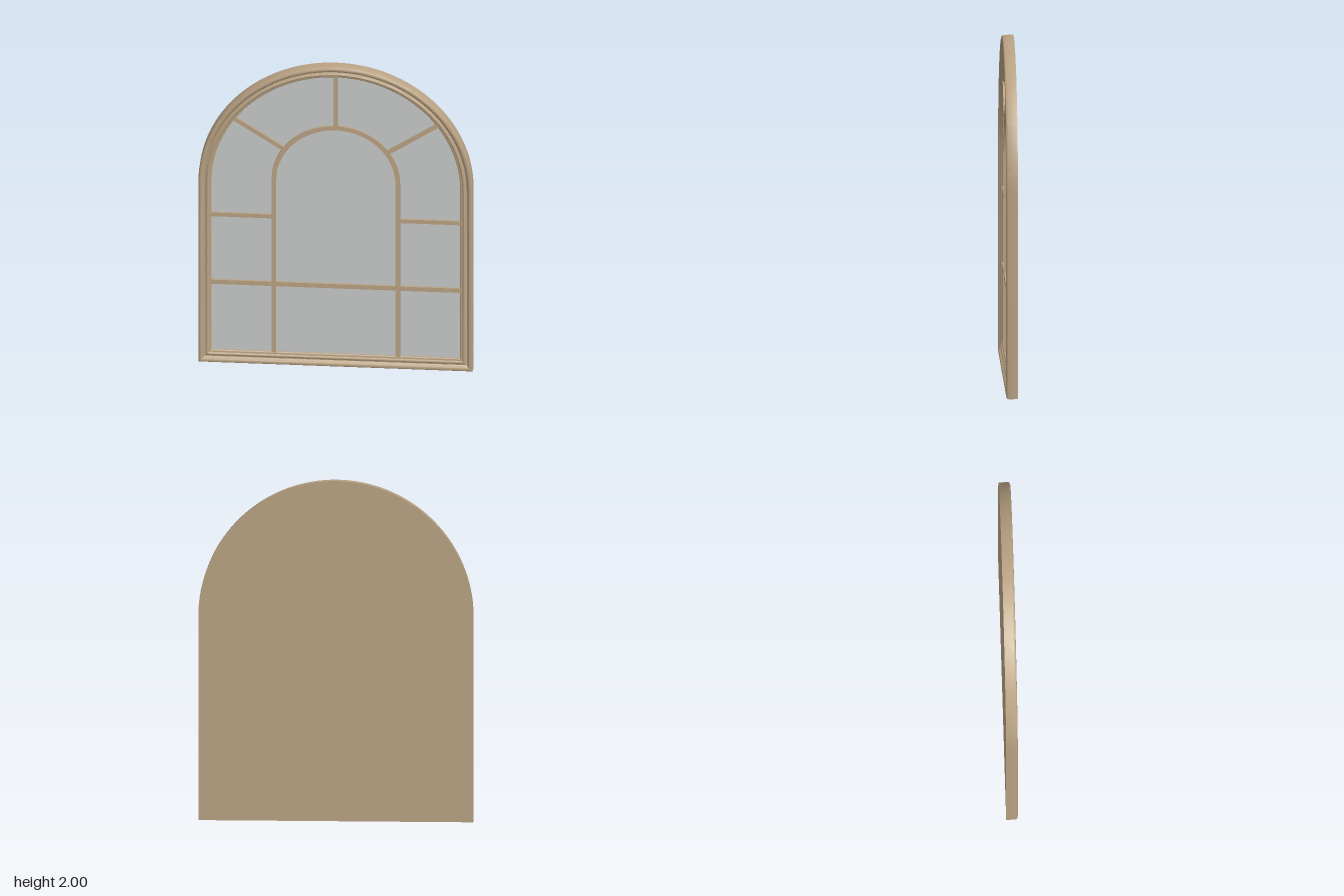
import * as THREE from 'three';
import { toCreasedNormals } from 'three/addons/utils/BufferGeometryUtils.js';

const HALF = 0.8, SPRING = 1.2, BACK = -0.034, GLASS = 0;

// Arched outline inset by d, counter-clockwise from the bottom left corner
function outline(d, segments = 64) {
  const r = HALF - d;
  const pts = [new THREE.Vector2(-r, d), new THREE.Vector2(r, d)];
  for (let i = 0; i <= segments; i++) {
    const a = Math.PI * i / segments;
    pts.push(new THREE.Vector2(r * Math.cos(a), SPRING + r * Math.sin(a)));
  }
  return pts;
}

// Sweep a moulding profile of [inset, z] pairs around the outline
function sweepFrame(profile) {
  const rings = profile.map(([d]) => outline(d));
  const n = rings[0].length, pos = [], index = [];
  rings.forEach((ring, j) => ring.forEach(p => pos.push(p.x, p.y, profile[j][1])));
  for (let j = 0; j < rings.length - 1; j++) {
    for (let i = 0; i < n; i++) {
      const k = (i + 1) % n;
      const a = j * n + i, b = j * n + k, c = a + n, e = b + n;
      index.push(a, b, e, a, e, c);
    }
  }
  const g = new THREE.BufferGeometry();
  g.setAttribute('position', new THREE.Float32BufferAttribute(pos, 3));
  g.setIndex(index);
  return toCreasedNormals(g, 0.75);
}

export function createModel() {
  const model = new THREE.Group();
  const wood = new THREE.MeshStandardMaterial({ name: 'tan wood', color: 0xb9a283 });
  const mirror = new THREE.MeshStandardMaterial({ name: 'mirror grey', color: 0xc6c9c8 });

  const add = (name, geometry, material) => {
    const mesh = new THREE.Mesh(geometry, material);
    mesh.name = name;
    model.add(mesh);
    return mesh;
  };

  // Moulded frame: rounded outer lip, groove, inner bead
  add('frame', sweepFrame([
    [0, BACK], [0, 0.022], [0.003, 0.029], [0.009, 0.033], [0.016, 0.034],
    [0.023, 0.032], [0.028, 0.027], [0.031, 0.019], [0.036, 0.015], [0.042, 0.016],
    [0.047, 0.021], [0.053, 0.023], [0.059, 0.020], [0.062, 0.013], [0.066, 0.013],
    [0.071, 0.012], [0.075, 0.008], [0.075, GLASS],
  ]), wood);

  // Back panel and mirror sheet
  const back = new THREE.ShapeGeometry(new THREE.Shape(outline(0)));
  back.rotateY(Math.PI).translate(0, 0, BACK);
  add('backPanel', back, wood);
  const sheet = new THREE.ShapeGeometry(new THREE.Shape(outline(0.074)));
  sheet.translate(0, 0, GLASS);
  add('mirrorSheet', sheet, mirror);

  // Inner arch bar, one continuous strip open at the bottom
  const R = 0.375, r = 0.348, cy = 1.225, foot = 0.074;
  const arch = new THREE.Shape();
  arch.moveTo(R, foot);
  arch.lineTo(R, cy);
  arch.absarc(0, cy, R, 0, Math.PI, false);
  arch.lineTo(-R, foot);
  arch.lineTo(-r, foot);
  arch.lineTo(-r, cy);
  arch.absarc(0, cy, r, Math.PI, 0, true);
  arch.lineTo(r, foot);
  const archGeo = new THREE.ExtrudeGeometry(arch, { depth: 0.014, bevelEnabled: false, curveSegments: 40 });
  add('innerArchBar', toCreasedNormals(archGeo, 0.6), wood);

  // Straight glazing bars between two points
  const bar = (name, x1, y1, x2, y2, width = 0.025) => {
    const g = new THREE.BoxGeometry(Math.hypot(x2 - x1, y2 - y1), width, 0.013);
    const mesh = add(name, g, wood);
    mesh.position.set((x1 + x2) / 2, (y1 + y2) / 2, 0.0065);
    mesh.rotation.z = Math.atan2(y2 - y1, x2 - x1);
  };
  bar('lowerCrossBar', -0.73, 0.53, 0.73, 0.53, 0.028);
  bar('topSpoke', 0, 1.59, 0, 1.93);
  for (const [side, s] of [['left', 1], ['right', -1]]) {
    bar(side + 'SideBar', s * 0.365, 0.981, s * 0.73, 0.981);
    bar(side + 'Spoke', s * 0.302, 1.433, s * 0.592, 1.626);
  }
  return model;
}
